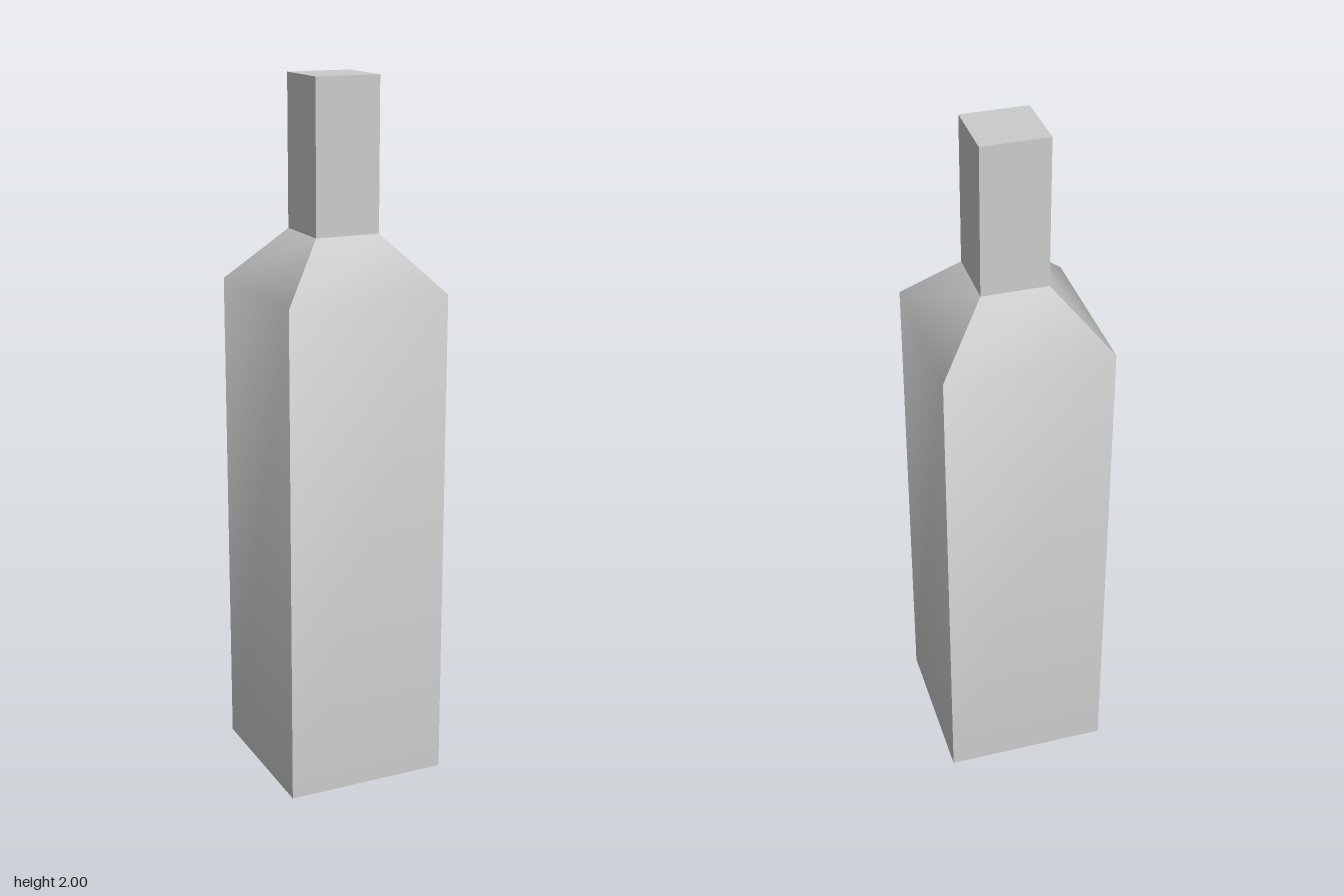
import * as THREE from 'three';
import { toCreasedNormals } from 'three/addons/utils/BufferGeometryUtils.js';

const HALF_BODY = 0.235, HALF_NECK = 0.094;
const BODY_TOP = 1.42, NECK_BASE = 1.575, TOP = 2;

export function createModel() {
  const group = new THREE.Group();
  group.name = 'squareBottle';
  const material = new THREE.MeshStandardMaterial({ color: 0xcccccc });

  // Body: a box with two height rows, its top row drawn in to form the shoulder
  const body = new THREE.BoxGeometry(2 * HALF_BODY, 2, 2 * HALF_BODY, 1, 2, 1);
  const p = body.attributes.position;
  const taper = HALF_NECK / HALF_BODY;
  for (let i = 0; i < p.count; i++) {
    const y = p.getY(i);
    const s = y > 0.5 ? taper : 1;
    const height = y > 0.5 ? NECK_BASE : y < -0.5 ? 0 : BODY_TOP;
    p.setXYZ(i, p.getX(i) * s, height, p.getZ(i) * s);
  }
  // Smooth from wall to shoulder, sharp at the corners
  const bodyMesh = new THREE.Mesh(toCreasedNormals(body, Math.PI / 4), material);
  bodyMesh.name = 'bodyAndShoulder';
  group.add(bodyMesh);

  // Neck: a plain square block
  const neckHeight = TOP - NECK_BASE;
  const neck = new THREE.Mesh(
    new THREE.BoxGeometry(2 * HALF_NECK, neckHeight, 2 * HALF_NECK), material);
  neck.name = 'neck';
  neck.position.y = NECK_BASE + neckHeight / 2;
  group.add(neck);

  return group;
}
